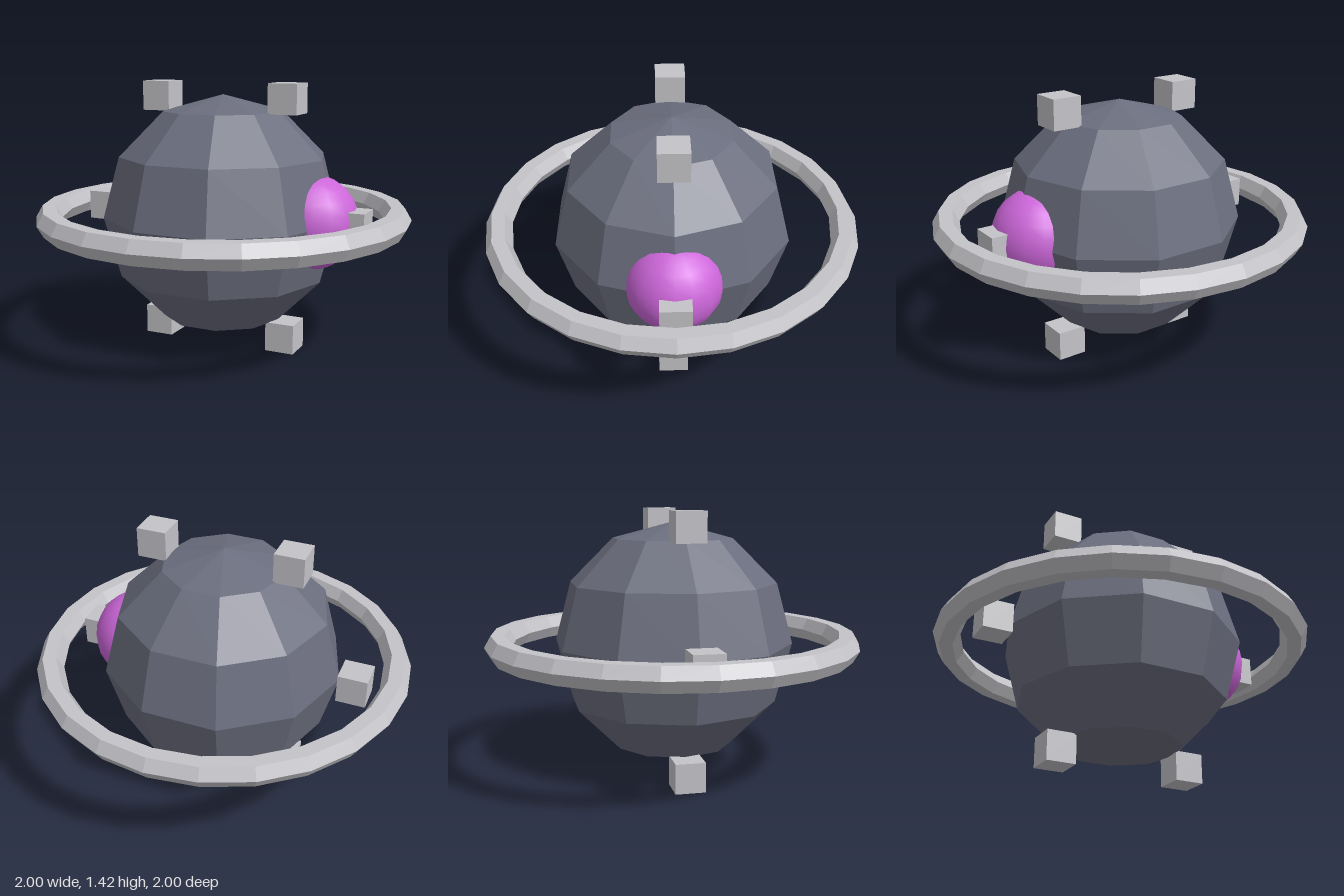
import * as THREE from 'three';

const CENTER_Y = 0.71;

function material(name, color, flatShading) {
  const m = new THREE.MeshStandardMaterial({ color, flatShading });
  m.name = name;
  return m;
}

export function createModel() {
  const model = new THREE.Group();
  model.name = 'ringedOrb';

  const slate = material('slate', 0x6b6e7e, true);
  const silver = material('silver', 0xc4c3c8, true);
  const magenta = material('magenta', 0xcc66d9, false);

  const add = (name, geometry, mat, x = 0, y = 0) => {
    const mesh = new THREE.Mesh(geometry, mat);
    mesh.name = name;
    mesh.position.set(x, CENTER_Y + y, 0);
    model.add(mesh);
    return mesh;
  };

  // Faceted body
  add('body', new THREE.SphereGeometry(0.643, 10, 6), slate);

  // Smooth eye bulging from the left side
  add('eye', new THREE.SphereGeometry(0.25, 16, 12), magenta, 0.5);

  // Horizontal ring with a hexagonal section
  add('ring', new THREE.TorusGeometry(0.9285, 0.0714, 6, 24), silver).rotation.x = Math.PI / 2;

  // Six upright cubes, evenly spaced on a vertical circle
  const cube = new THREE.BoxGeometry(0.157, 0.157, 0.157);
  for (let i = 0; i < 6; i++) {
    const a = (i * Math.PI) / 3;
    add(`cube${i + 1}`, cube, silver, 0.728 * Math.cos(a), 0.728 * Math.sin(a));
  }

  return model;
}
